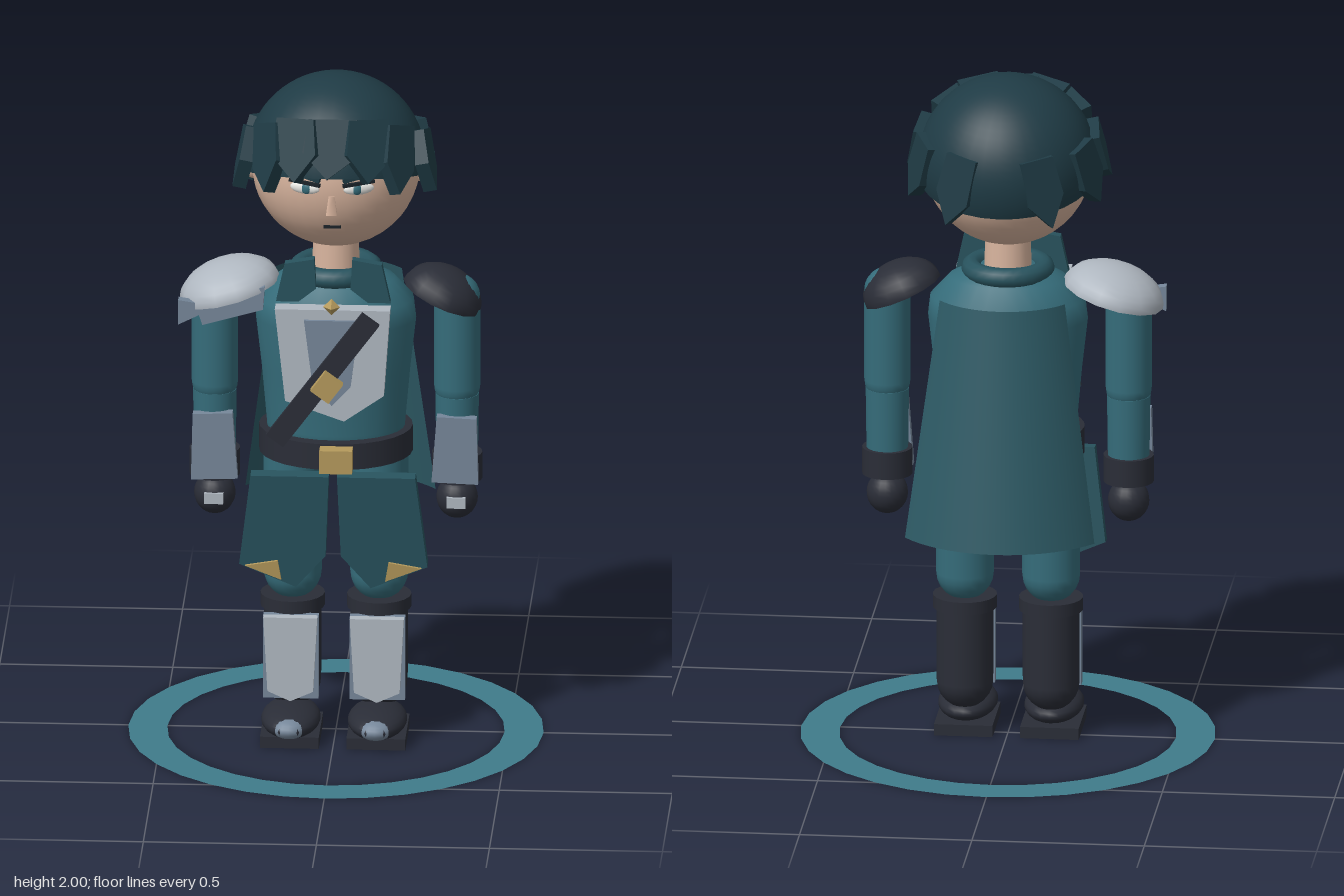
import * as THREE from 'three';

const COL = {
  hair: 0x1f3b45, skin: 0xd8b49e, coat: 0x356c7a, cloth: 0x28535e, cape: 0x2d5a65,
  dark: 0x2a2d37, steel: 0x76879a, plate: 0xb0b8c1, gold: 0xb59a5c, ring: 0x3f7b8a,
  white: 0xe6e6e2, ink: 0x1a2228,
};
const mats = {};
const mat = (c, double) => mats[c + !!double] ??= new THREE.MeshStandardMaterial({
  color: COL[c], side: double ? THREE.DoubleSide : THREE.FrontSide,
});

// Adds a named mesh to a parent
function add(parent, name, geo, color, pos = [0, 0, 0], rot = [0, 0, 0], scale = [1, 1, 1], double = false) {
  const m = new THREE.Mesh(geo, mat(color, double));
  m.name = name;
  m.position.set(...pos);
  m.rotation.set(...rot);
  m.scale.set(...scale);
  parent.add(m);
  return m;
}
const box = (w, h, d) => new THREE.BoxGeometry(w, h, d);
const ball = (ws = 24, hs = 16) => new THREE.SphereGeometry(1, ws, hs);
const cyl = (rt, rb, h, n = 20) => new THREE.CylinderGeometry(rt, rb, h, n);
// Flat plate from an outline; flip mirrors it in x
function plate(points, depth, flip = 1) {
  const shape = new THREE.Shape(points.map(([x, y]) => new THREE.Vector2(x * flip, y)));
  return new THREE.ExtrudeGeometry(shape, { depth, bevelEnabled: false });
}

function buildHead(g) {
  add(g, 'head', ball(32, 24), 'skin', [0, 1.735, 0], [0, 0, 0], [0.243, 0.24, 0.228]);
  add(g, 'neck', cyl(0.065, 0.07, 0.16), 'skin', [0, 1.46, 0]);
  add(g, 'nose', cyl(0.012, 0.022, 0.055, 4), 'skin', [0, 1.685, 0.225], [-0.1, Math.PI / 4, 0]);
  add(g, 'mouth', box(0.05, 0.008, 0.012), 'ink', [0, 1.61, 0.195]);
  for (const s of [-1, 1]) {
    add(g, 'eye', ball(16, 10), 'white', [s * 0.078, 1.733, 0.212], [0, s * 0.33, 0], [0.046, 0.018, 0.012]);
    add(g, 'iris', ball(12, 8), 'coat', [s * 0.074, 1.733, 0.221], [0, s * 0.33, 0], [0.015, 0.016, 0.007]);
    add(g, 'upperLid', box(0.095, 0.009, 0.012), 'ink', [s * 0.078, 1.751, 0.218], [0, s * 0.33, s * 0.08]);
    add(g, 'eyebrow', box(0.1, 0.013, 0.015), 'hair', [s * 0.08, 1.772, 0.215], [0, s * 0.33, s * 0.2]);
    add(g, 'ear', ball(12, 10), 'skin', [s * 0.24, 1.715, 0], [0, 0, 0], [0.02, 0.03, 0.022]);
  }
  // Hair cap falls lower at the back
  add(g, 'hairCap', new THREE.SphereGeometry(0.26, 32, 18, 0, Math.PI * 2, 0, 1.7), 'hair',
    [0, 1.74, -0.015], [-0.25, 0, 0], [1, 1, 1], true);
  // Locks: [angle from the front, top y, start radius, half width, length, tilt, lean]
  const locks = [
    [0, 1.925, 0.175, 0.085, 0.175, -0.36, 0],
    [0.5, 1.92, 0.185, 0.075, 0.185, -0.36, 0.12],
    [0.95, 1.89, 0.205, 0.065, 0.2, -0.26, 0.3],
    [1.5, 1.84, 0.225, 0.065, 0.18, -0.22, 0.3],
    [2.05, 1.83, 0.225, 0.06, 0.19, -0.12, 0.25],
    [2.7, 1.82, 0.22, 0.06, 0.21, -0.1, 0.15],
  ];
  for (const [a, y, r, w, h, tilt, lean] of locks) {
    for (const s of a ? [-1, 1] : [1]) {
      const lock = new THREE.Group();
      lock.name = 'hairLock';
      lock.rotation.y = s * a;
      lock.position.set(0, y, -0.012);
      const outline = [[-w * 0.8, 0], [-w, -h * 0.55], [-w * 0.15, -h], [w * 0.8, -h * 0.65], [w * 0.85, 0]];
      add(lock, 'lock', plate(outline.slice(), 0.04, s), 'hair', [0, 0, r], [tilt, 0, -s * lean], [1, 1, 1], true);
      g.add(lock);
    }
  }
}

function buildTorso(g) {
  const profile = [[0, 0.86], [0.2, 0.86], [0.2, 0.95], [0.215, 1.12], [0.232, 1.27], [0.225, 1.33],
    [0.17, 1.39], [0.1, 1.425], [0, 1.43]].map(p => new THREE.Vector2(...p));
  add(g, 'coatBody', new THREE.LatheGeometry(profile, 28), 'coat', [0, 0, 0], [0, 0, 0], [1, 1, 0.76]);
  add(g, 'collarRing', new THREE.TorusGeometry(0.105, 0.03, 10, 28), 'cloth', [0, 1.415, 0], [Math.PI / 2, 0, 0]);
  const flap = [[0.05, 1.4], [0.055, 1.49], [0.14, 1.475], [0.165, 1.36], [0.1, 1.36]];
  for (const s of [-1, 1])
    add(g, 'collarFlap', plate(flap, 0.03, s), 'cloth', [0, 0, 0.115]);

  // Belt and buckle
  add(g, 'belt', cyl(0.222, 0.222, 0.078, 28), 'dark', [0, 0.9, 0], [0, 0, 0], [1, 1, 0.85]);
  add(g, 'beltBuckle', box(0.095, 0.07, 0.045), 'gold', [0.012, 0.9, 0.212]);

  // Breastplate layers, jewel and diagonal strap
  const chest = [[-0.165, 1.36], [-0.135, 1.08], [0.035, 1.02], [0.15, 1.1], [0.168, 1.36]];
  add(g, 'breastplate', plate(chest, 0.05), 'plate', [0, 0, 0.165]);
  add(g, 'breastplateInset', plate([[-0.08, 1.33], [-0.055, 1.13], [0, 1.07], [0.055, 1.13], [0.08, 1.33]], 0.012),
    'steel', [0, 0, 0.212]);
  add(g, 'jewel', new THREE.OctahedronGeometry(0.025), 'gold', [0, 1.375, 0.228]);
  add(g, 'strap', box(0.062, 0.467, 0.018), 'dark', [-0.025, 1.156, 0.24], [0, 0, -0.636]);
  add(g, 'strapBuckle', box(0.065, 0.07, 0.03), 'gold', [-0.012, 1.142, 0.261], [0, 0, -0.636]);

  // Cape: open part of a cone behind the back
  add(g, 'cape', new THREE.CylinderGeometry(0.23, 0.348, 0.7, 18, 6, true, Math.PI - 0.91, 1.82), 'cape',
    [0, 1.01, -0.017], [0, 0, 0], [1, 1, 1], true);
}

// Hanging front panel with gold corner; s is the side
function buildSkirtPanel(g, s) {
  const panel = new THREE.Group();
  panel.name = 'skirtPanel';
  panel.position.set(0, 0.835, 0.125);
  panel.rotation.x = 0.09;
  add(panel, 'panelCloth', plate([[0.012, 0], [0.022, -0.25], [0.108, -0.35], [0.272, -0.28], [0.238, 0]], 0.042, s), 'cloth');
  add(panel, 'panelTrim', plate([[0.15, -0.325], [0.255, -0.282], [0.16, -0.265]], 0.012, s), 'gold', [0, 0, 0.038]);
  g.add(panel);
}

function buildArm(g, s) {
  const arm = new THREE.Group();
  arm.name = s > 0 ? 'leftArm' : 'rightArm';
  arm.position.x = s * 0.35;
  add(arm, 'upperArm', new THREE.CapsuleGeometry(0.067, 0.27, 6, 20), 'coat', [0, 1.2, 0]);
  add(arm, 'forearm', cyl(0.063, 0.06, 0.22), 'coat', [0, 0.93, 0]);
  add(arm, 'cuff', cyl(0.073, 0.073, 0.08), 'dark', [0, 0.82, 0]);
  add(arm, 'fist', ball(20, 14), 'dark', [0, 0.722, 0], [0, 0, 0], [0.06, 0.063, 0.06]);
  add(arm, 'knucklePlate', box(0.055, 0.032, 0.02), 'plate', [0, 0.722, 0.055]);
  add(arm, 'bracerPlate', plate([[-0.055, 0.99], [-0.07, 0.79], [0.065, 0.785], [0.06, 0.985]].map(([x, y]) => [x, y]), 0.032, s),
    'steel', [0, 0, 0.046], [0, 0, 0], [1, 1, 1]);
  g.add(arm);
}

function buildPauldrons(g) {
  const dome = () => new THREE.SphereGeometry(1, 14, 8, 0, Math.PI * 2, 0, Math.PI / 2);
  add(g, 'rightPauldron', dome(), 'plate', [-0.305, 1.345, 0], [0, 0, 0.28], [0.15, 0.09, 0.15], true);
  add(g, 'pauldronGuard', plate([[-0.45, 1.345], [-0.385, 1.335], [-0.2, 1.39], [-0.205, 1.32], [-0.38, 1.27],
    [-0.39, 1.3], [-0.45, 1.27]], 0.03), 'steel', [0, 0, 0.08]);
  add(g, 'leftPauldron', dome(), 'dark', [0.305, 1.335, 0], [0, 0, -0.42], [0.12, 0.09, 0.115], true);
}

function buildLeg(g, s) {
  const leg = new THREE.Group();
  leg.name = s > 0 ? 'leftLeg' : 'rightLeg';
  leg.position.x = s * 0.125;
  add(leg, 'thigh', new THREE.CapsuleGeometry(0.084, 0.36, 6, 20), 'coat', [0, 0.67, 0]);
  add(leg, 'bootShaft', new THREE.CapsuleGeometry(0.082, 0.18, 6, 20), 'dark', [0, 0.25, 0]);
  add(leg, 'bootUpper', cyl(0.083, 0.083, 0.22), 'dark', [0, 0.29, 0]);
  add(leg, 'bootCuff', cyl(0.093, 0.093, 0.038), 'dark', [0, 0.402, 0]);
  // Layered shin guard
  add(leg, 'shinGuardBack', box(0.16, 0.25, 0.035), 'steel', [0, 0.255, 0.085]);
  add(leg, 'shinGuard', plate([[-0.078, 0.385], [-0.066, 0.16], [0, 0.13], [0.066, 0.16], [0.078, 0.385]], 0.028),
    'plate', [0, 0, 0.102]);
  // Foot, toe cap and sole
  add(leg, 'foot', ball(20, 14), 'dark', [0, 0.068, 0.09], [0, 0, 0], [0.086, 0.043, 0.145]);
  add(leg, 'toeCap', ball(16, 10), 'steel', [0, 0.068, 0.185], [0, 0, 0], [0.052, 0.03, 0.05]);
  add(leg, 'sole', box(0.17, 0.034, 0.225), 'dark', [0, 0.019, 0.063]);
  g.add(leg);
}

export function createModel() {
  const g = new THREE.Group();
  g.name = 'caped guard';
  buildHead(g);
  buildTorso(g);
  buildPauldrons(g);
  for (const s of [-1, 1]) {
    buildSkirtPanel(g, s);
    buildArm(g, s);
    buildLeg(g, s);
  }
  // Flat ring on the ground
  add(g, 'groundRing', new THREE.RingGeometry(0.487, 0.6, 32), 'ring', [0, 0.002, 0], [-Math.PI / 2, 0, 0], [1, 1, 1], true);
  return g;
}
